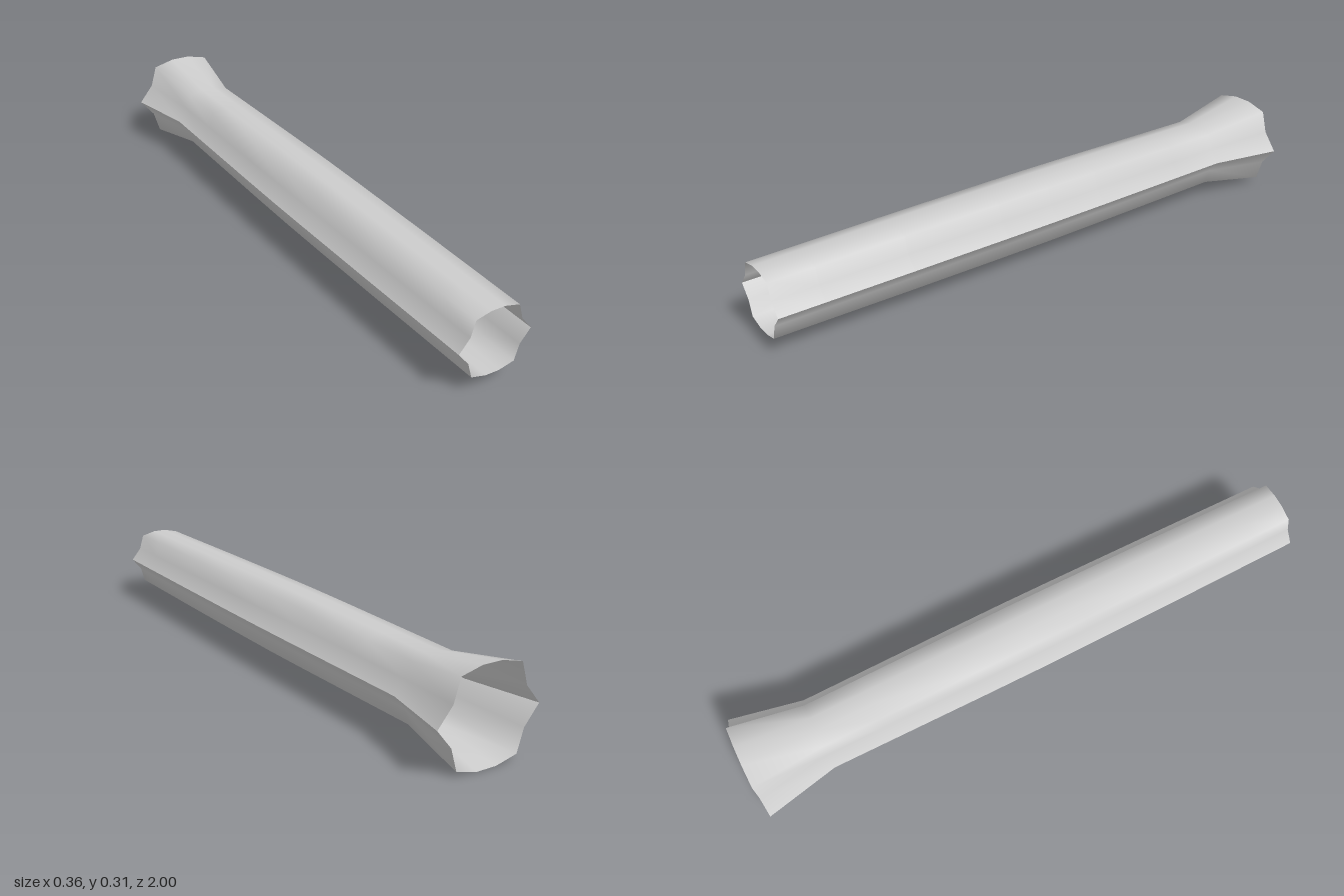
import * as THREE from 'three';

// Upper half of the eight-lobed cross-section, from the left ridge to the right ridge
const quarter = [[0.181, 0], [0.13, 0.062], [0.108, 0.136], [0.034, 0.154]];
const arch = [...quarter, ...quarter.map(([x, y]) => [-x, y]).reverse()];
const centreY = 0.154;

// Stations along the tube: [z, scale of the cross-section]
const stations = [
  [1, 0.69], [0.85, 0.7], [0.55, 0.72], [0.2, 0.737], [0, 0.742],
  [-0.2, 0.737], [-0.55, 0.72], [-0.75, 0.71], [-1, 1],
];

// One half of the tube wall; sign is +1 for the upper and -1 for the lower half
function halfShell(sign) {
  const positions = [];
  const index = [];
  const n = arch.length;
  for (const [z, s] of stations) {
    for (const [x, y] of arch) positions.push(sign * x * s, centreY + sign * y * s, z);
  }
  for (let i = 0; i < stations.length - 1; i++) {
    for (let j = 0; j < n - 1; j++) {
      const a = i * n + j, b = a + 1, c = a + n, d = c + 1;
      index.push(a, b, c, b, d, c);
    }
  }
  const geometry = new THREE.BufferGeometry();
  geometry.setAttribute('position', new THREE.Float32BufferAttribute(positions, 3));
  geometry.setIndex(index);
  // Reverse the winding so that the wall faces outward
  for (let k = 0; k < index.length; k += 3) [index[k + 1], index[k + 2]] = [index[k + 2], index[k + 1]];
  geometry.setIndex(index);
  geometry.computeVertexNormals();
  return geometry;
}

export function createModel() {
  const group = new THREE.Group();
  group.name = 'flaredTube';
  const grey = new THREE.MeshStandardMaterial({ color: 0xcccccc, side: THREE.DoubleSide });
  grey.name = 'light grey';
  // Two halves keep the side ridges sharp and the rest smooth
  for (const [name, sign] of [['upperShell', 1], ['lowerShell', -1]]) {
    const mesh = new THREE.Mesh(halfShell(sign), grey);
    mesh.name = name;
    group.add(mesh);
  }
  return group;
}
